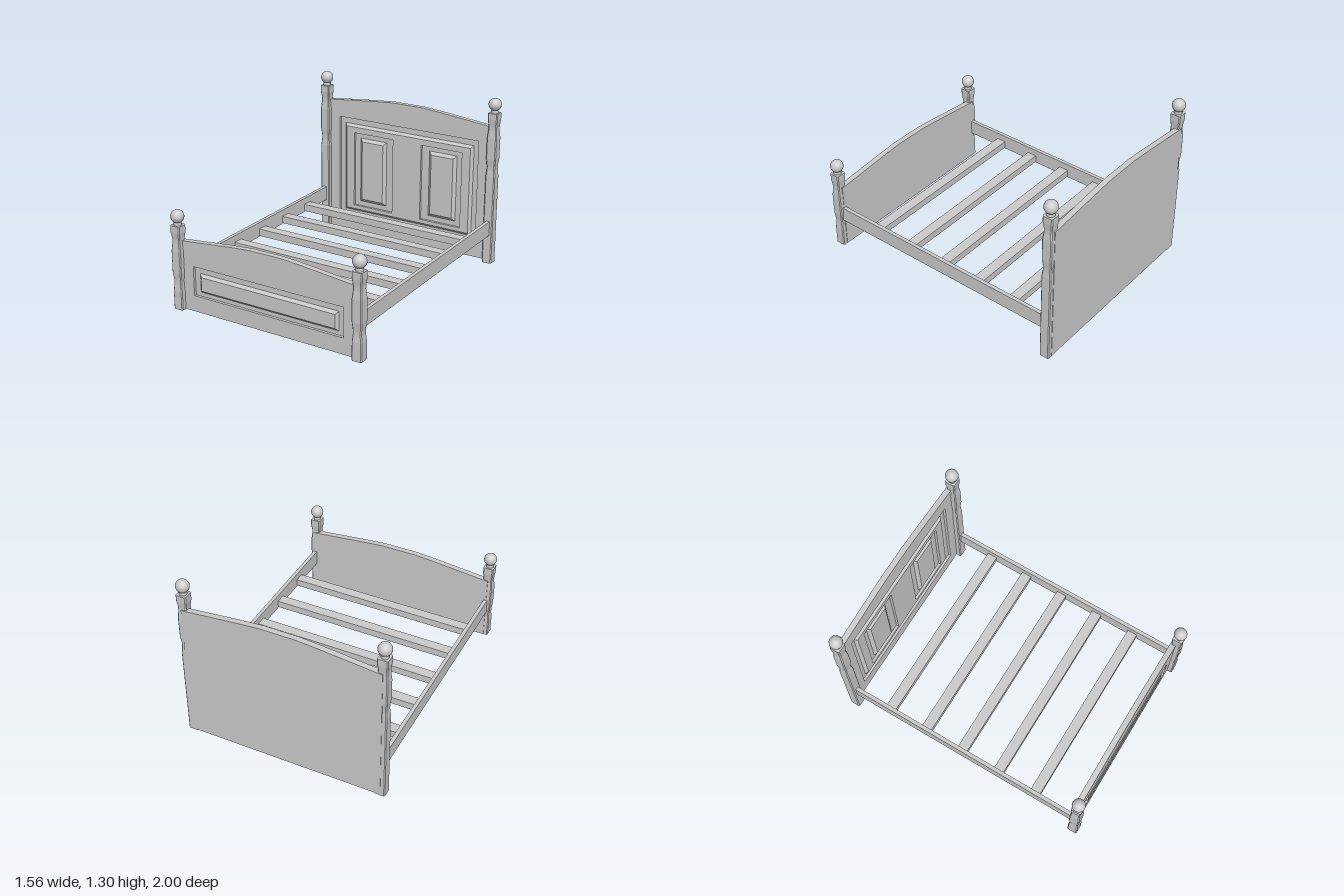
import * as THREE from 'three';

const material = new THREE.MeshStandardMaterial({ color: 0xcccccc, side: THREE.DoubleSide });

function add(parent, name, geometry, x = 0, y = 0, z = 0) {
  const mesh = new THREE.Mesh(geometry, material);
  mesh.name = name;
  mesh.position.set(x, y, z);
  parent.add(mesh);
  return mesh;
}

// Rectangles are [x0, y0, x1, y1]
const corners = ([x0, y0, x1, y1]) => [[x0, y0], [x1, y0], [x1, y1], [x0, y1]];
const inset = ([x0, y0, x1, y1], d) => [x0 + d, y0 + d, x1 - d, y1 - d];
const toPoints = (list) => list.map(([x, y]) => new THREE.Vector2(x, y));

// Flat plate with rectangular openings
function plate(outline, openings, depth) {
  const shape = new THREE.Shape(toPoints(outline));
  for (const r of openings) shape.holes.push(new THREE.Path(toPoints(corners(r))));
  return new THREE.ExtrudeGeometry(shape, { depth, bevelEnabled: false });
}

// Skin between successive cross-section loops, with flat faces and end caps
function loft(loops, capped = true) {
  const pos = [];
  const n = loops[0].length;
  for (let i = 0; i < loops.length - 1; i++) {
    for (let j = 0; j < n; j++) {
      const k = (j + 1) % n;
      const a = loops[i][j], b = loops[i][k], c = loops[i + 1][k], d = loops[i + 1][j];
      pos.push(...a, ...b, ...c, ...a, ...c, ...d);
    }
  }
  if (capped) {
    const lo = loops[0], hi = loops[loops.length - 1];
    for (let j = 1; j < n - 1; j++) {
      pos.push(...lo[0], ...lo[j + 1], ...lo[j], ...hi[0], ...hi[j], ...hi[j + 1]);
    }
  }
  const g = new THREE.BufferGeometry();
  g.setAttribute('position', new THREE.Float32BufferAttribute(pos, 3));
  g.computeVertexNormals();
  return g;
}

// Raised panel: sloping rim around a flat field
function raisedPanel(parent, name, rect, bevel, z, depth, openings = []) {
  const panel = new THREE.Group();
  panel.name = name;
  const inner = inset(rect, bevel);
  const loop = (r, h) => corners(r).map(([x, y]) => [x, y, h]);
  add(panel, 'panelRim', loft([loop(rect, z), loop(inner, z + depth)], false));
  add(panel, 'panelField', plate(corners(inner), openings, depth), 0, 0, z);
  parent.add(panel);
}

// Square post with chamfered corners and two shaped waists, topped by a ball
function makePost(name, bottom, top) {
  const post = new THREE.Group();
  post.name = name;
  const profile = [[0, 0.039], [0.05, 0.039], [0.075, 0.036], [0.1, 0.033], [0.13, 0.033],
    [0.16, 0.036], [0.19, 0.039], [0.35, 0.039], [0.38, 0.036], [0.41, 0.033],
    [0.44, 0.033], [0.49, 0.038], [top - bottom, 0.038]];
  const loops = profile.reverse().map(([d, w]) => {
    const c = w - 0.007;
    return [[w, c], [c, w], [-c, w], [-w, c], [-w, -c], [-c, -w], [c, -w], [w, -c]]
      .map(([x, z]) => [x, top - d, -z]);
  });
  add(post, 'postShaft', loft(loops));
  add(post, 'postNeck', new THREE.CylinderGeometry(0.028, 0.028, 0.05, 20), 0, top + 0.015, 0);
  add(post, 'postBall', new THREE.SphereGeometry(0.048, 28, 20), 0, top + 0.064, 0);
  return post;
}

// Arched board: back slab plus a front frame with a rectangular recess
const BACK = 0.022, DEPTH = 0.02;
function makeBoard(name, top, recess) {
  const board = new THREE.Group();
  board.name = name;
  const w = 0.735, shoulder = top - 0.058;
  const outline = [[-w, 0.01], [w, 0.01], [w, shoulder], [0.42, top - 0.026], [0.28, top - 0.012],
    [0.13, top], [-0.13, top], [-0.28, top - 0.012], [-0.42, top - 0.026], [-w, shoulder]];
  add(board, 'boardBack', plate(outline, [], BACK));
  add(board, 'boardFrame', plate(outline, [recess], DEPTH), 0, 0, BACK);
  return board;
}

export function createModel() {
  const bed = new THREE.Group();
  bed.name = 'bed';
  const postX = 0.73, postZ = 0.952;

  // Headboard with one large panel holding two smaller ones
  const headRecess = [-0.61, 0.13, 0.61, 0.945];
  const head = makeBoard('headboard', 1.128, headRecess);
  const openings = [[-0.475, 0.22, -0.125, 0.83], [0.125, 0.22, 0.475, 0.83]];
  raisedPanel(head, 'headPanel', [-0.565, 0.17, 0.565, 0.897], 0.02, BACK, DEPTH, openings);
  for (const s of [-1, 1]) {
    const x = s * 0.308;
    raisedPanel(head, 'smallHeadPanel', [x - 0.118, 0.26, x + 0.118, 0.79], 0.024, BACK, DEPTH);
  }
  head.position.z = -0.993;
  bed.add(head);

  // Footboard with one long panel
  const foot = makeBoard('footboard', 0.578, [-0.61, 0.13, 0.61, 0.35]);
  raisedPanel(foot, 'footPanel', [-0.565, 0.16, 0.565, 0.302], 0.02, BACK, DEPTH);
  foot.position.z = 0.91;
  bed.add(foot);

  // Posts and side rails
  for (const s of [-1, 1]) {
    const headPost = makePost('headPost', 0, 1.185);
    headPost.position.set(s * postX, 0, -postZ);
    const footPost = makePost('footPost', 0.008, 0.635);
    footPost.position.set(s * postX, 0, postZ);
    bed.add(headPost, footPost);
    add(bed, 'sideRail', new THREE.BoxGeometry(0.028, 0.113, 1.86), s * 0.731, 0.285, 0);
  }

  // Cross slats
  for (let i = 0; i < 5; i++) {
    add(bed, 'slat', new THREE.BoxGeometry(1.44, 0.055, 0.077), 0, 0.263, -0.63 + i * 0.3085);
  }
  return bed;
}
